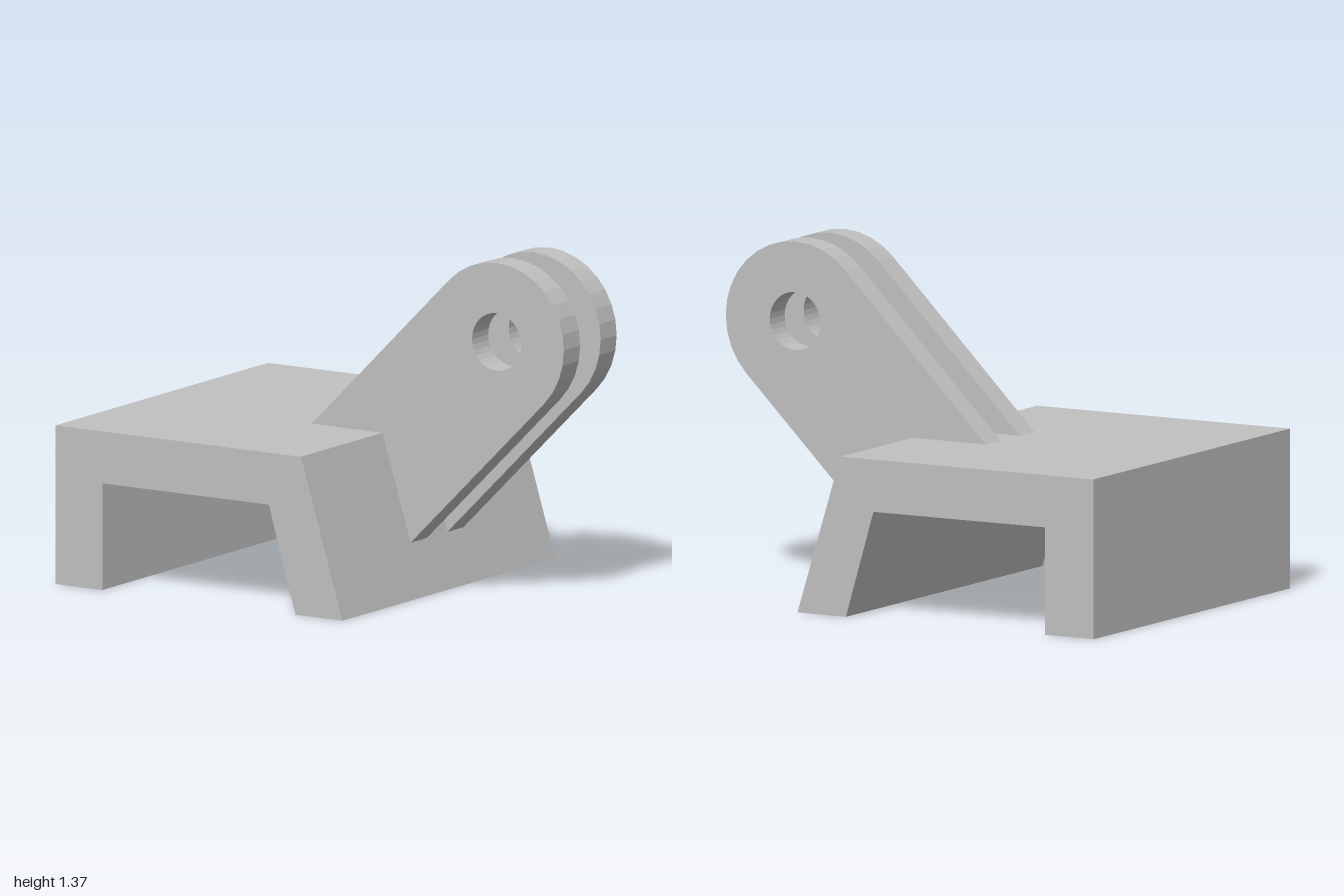
import * as THREE from 'three';

const arcPoints = (cx, cy, r, start, end, steps) =>
  Array.from({ length: steps + 1 }, (_, i) => {
    const a = start + ((end - start) * i) / steps;
    return new THREE.Vector2(cx + r * Math.cos(a), cy + r * Math.sin(a));
  });

// Extrudes a front-facing profile from z0 to z1
function extrude(name, shape, z0, z1, material) {
  const geometry = new THREE.ExtrudeGeometry(shape, { depth: z1 - z0, bevelEnabled: false });
  geometry.translate(0, 0, z0);
  const mesh = new THREE.Mesh(geometry, material);
  mesh.name = name;
  return mesh;
}

export function createModel() {
  const group = new THREE.Group();
  group.name = 'hingeBracket';
  const grey = new THREE.MeshStandardMaterial({ color: 0xc0c0c0 });
  grey.name = 'plain grey';

  // Channel-shaped base with one upright and one splayed leg
  const base = new THREE.Shape([
    [-1, 0], [-0.78, 0], [-0.78, 0.425], [0, 0.425],
    [0.125, 0], [0.345, 0], [0.15, 0.632], [-1, 0.632],
  ].map(([x, y]) => new THREE.Vector2(x, y)));
  group.add(extrude('base', base, -0.755, 0.755, grey));

  // Slanted lug with a rounded end and a pin hole, rooted in the base corner
  const cx = 0.684, cy = 1.052;
  const lug = new THREE.Shape([
    new THREE.Vector2(-0.182, 0.632),
    new THREE.Vector2(0.13, 0.61),
    new THREE.Vector2(0.281, 0.208),
    ...arcPoints(cx, cy, 0.315, -Math.PI / 4, (3 * Math.PI) / 4, 16),
  ]);
  lug.holes.push(new THREE.Path(arcPoints(cx, cy, 0.115, 0, Math.PI * 2, 32).slice(0, 32)));

  group.add(extrude('frontLug', lug, 0.06, 0.175, grey));
  group.add(extrude('backLug', lug, -0.2, -0.086, grey));
  return group;
}
